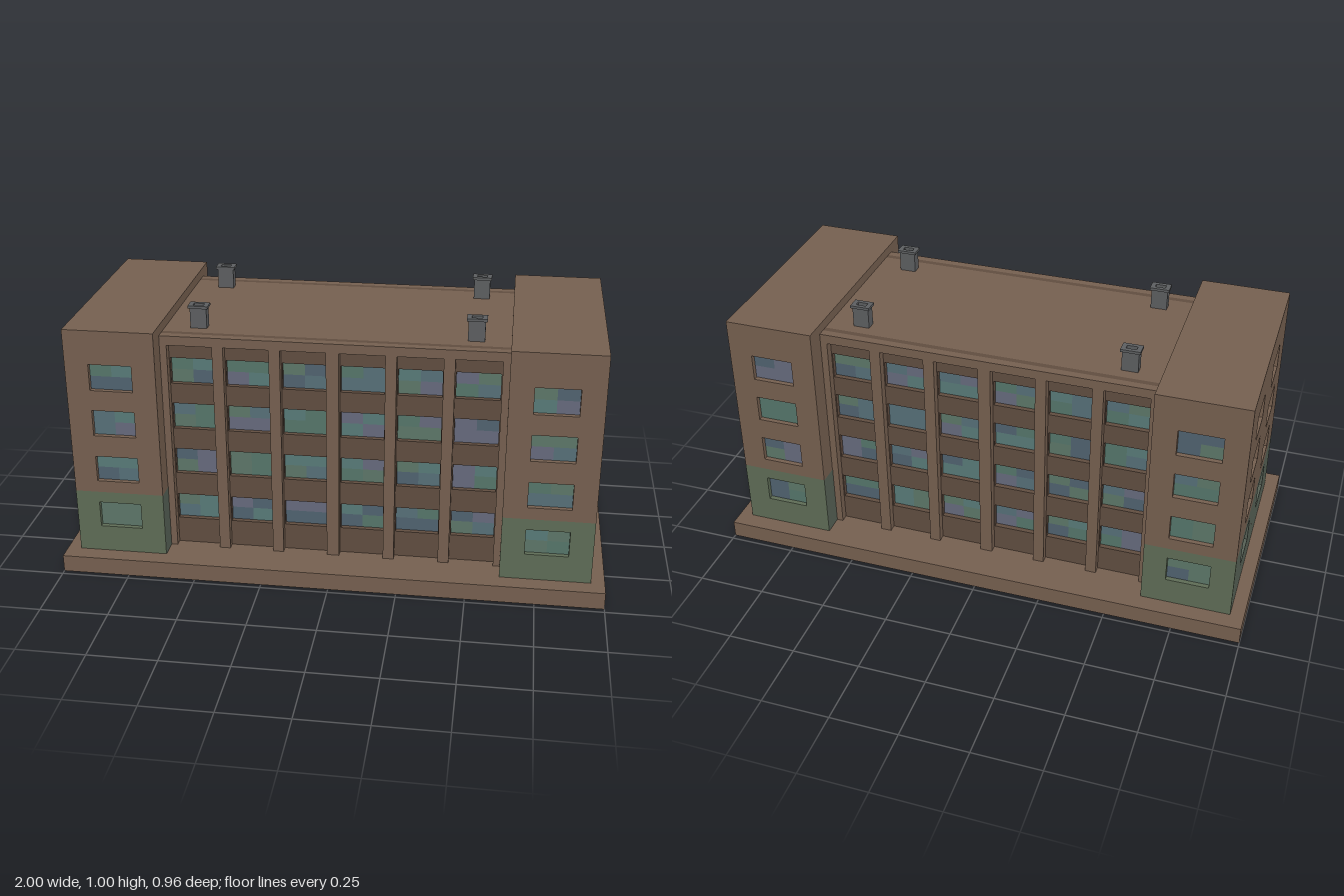
import * as THREE from 'three';

const mat = (color) => new THREE.MeshStandardMaterial({ color });
const BRICK = mat(0x755f4f), RECESS = mat(0x604d40), GREEN = mat(0x5e6c56), SIDE_GREEN = mat(0x566055);
const METAL = mat(0x5c5e60);
const GLASS = [0x566f78, 0x587a78, 0x55756a, 0x666a7c, 0x50626f, 0x5c7668].map(mat);

const BASE = 0.065, SPLIT = 0.31, WING_TOP = 0.945, BODY_TOP = 0.91;
const FLOORS = [0.217, 0.406, 0.589, 0.767]; // window centre heights
const WIN_W = 0.157, WIN_H = 0.1, DEPTH = 0.02;

let seed = 7;
const random = () => (seed = (seed * 16807) % 2147483647) / 2147483647;

function box(parent, name, material, x0, x1, y0, y1, z0, z1) {
  const mesh = new THREE.Mesh(new THREE.BoxGeometry(x1 - x0, y1 - y0, z1 - z0), material);
  mesh.position.set((x0 + x1) / 2, (y0 + y1) / 2, (z0 + z1) / 2);
  mesh.name = name;
  parent.add(mesh);
}

function trace(path, x0, x1, y0, y1) {
  path.moveTo(x0, y0);
  path.lineTo(x1, y0);
  path.lineTo(x1, y1);
  path.lineTo(x0, y1);
  path.closePath();
  return path;
}

// Wall slab facing +z with rectangular openings; z is its outer face
function wall(parent, name, material, [x0, x1, y0, y1], centres, z) {
  const shape = trace(new THREE.Shape(), x0, x1, y0, y1);
  for (const [x, y] of centres)
    shape.holes.push(trace(new THREE.Path(), x - WIN_W / 2, x + WIN_W / 2, y - WIN_H / 2, y + WIN_H / 2));
  const mesh = new THREE.Mesh(new THREE.ExtrudeGeometry(shape, { depth: DEPTH, bevelEnabled: false }), material);
  mesh.position.z = z - DEPTH;
  mesh.name = name;
  parent.add(mesh);
}

// Four tinted panes set back inside each opening
const paneGeo = new THREE.PlaneGeometry(WIN_W / 2, WIN_H / 2);
function panes(parent, centres, z) {
  for (const [x, y] of centres) {
    const win = new THREE.Group();
    win.name = 'window';
    win.position.set(x, y, z - DEPTH + 0.002);
    for (const i of [-1, 1]) for (const j of [-1, 1]) {
      const pane = new THREE.Mesh(paneGeo, GLASS[Math.floor(random() * GLASS.length)]);
      pane.name = 'pane';
      pane.position.set(i * WIN_W / 4, j * WIN_H / 4, 0);
      win.add(pane);
    }
    parent.add(win);
  }
}

const grid = (xs) => FLOORS.flatMap((y) => xs.map((x) => [x, y]));

// Wing wall: green ground floor below brick upper floors
function wingWall(parent, x0, x1, xs, z, green) {
  const centres = grid(xs);
  wall(parent, 'groundFloorWall', green, [x0, x1, BASE, SPLIT], centres.filter((c) => c[1] < SPLIT), z);
  wall(parent, 'upperWall', BRICK, [x0, x1, SPLIT, WING_TOP], centres.filter((c) => c[1] > SPLIT), z);
  panes(parent, centres, z);
}

// Long facade, used for both front and back
function longFacade() {
  const g = new THREE.Group();
  g.name = 'longFacade';
  const bays = [-0.513, -0.309, -0.105, 0.105, 0.309, 0.513], half = 0.082;
  wall(g, 'bayWall', RECESS, [-0.62, 0.62, BASE, BODY_TOP], grid(bays), 0.31);
  panes(g, grid(bays), 0.31);
  // Pilasters between the bays
  const edges = [-0.62, ...bays.flatMap((x) => [x - half, x + half]), 0.62];
  for (let i = 0; i < edges.length; i += 2)
    box(g, 'pilaster', BRICK, edges[i], edges[i + 1], BASE, 0.875, 0.31, 0.34);
  box(g, 'cornice', BRICK, -0.62, 0.62, 0.875, BODY_TOP, 0.31, 0.34);
  for (const s of [-1, 1]) {
    const c = s * 0.785;
    wingWall(g, c - 0.165, c + 0.165, [c], 0.415, GREEN);
  }
  return g;
}

function endFacade() {
  const g = new THREE.Group();
  g.name = 'endFacade';
  wingWall(g, -0.395, 0.395, [-0.177, 0.177], 0.95, SIDE_GREEN);
  return g;
}

// Hollow rectangular tube standing on y
function tube(parent, name, w, d, wallX, wallZ, y0, y1) {
  const shape = trace(new THREE.Shape(), -w / 2, w / 2, -d / 2, d / 2);
  shape.holes.push(trace(new THREE.Path(), -w / 2 + wallX, w / 2 - wallX, -d / 2 + wallZ, d / 2 - wallZ));
  const mesh = new THREE.Mesh(new THREE.ExtrudeGeometry(shape, { depth: y1 - y0, bevelEnabled: false }), METAL);
  mesh.rotation.x = -Math.PI / 2;
  mesh.position.y = y0;
  mesh.name = name;
  parent.add(mesh);
}

function chimney(x, z) {
  const g = new THREE.Group();
  g.name = 'chimney';
  tube(g, 'chimneyShaft', 0.06, 0.037, 0.011, 0.009, BODY_TOP, 0.985);
  tube(g, 'chimneyCap', 0.072, 0.048, 0.017, 0.0145, 0.985, 0.995);
  g.position.set(x, 0, z);
  return g;
}

export function createModel() {
  const model = new THREE.Group();
  model.name = 'apartmentBlock';
  box(model, 'plinth', BRICK, -1, 1, 0, BASE, -0.48, 0.48);
  box(model, 'mainBlock', BRICK, -0.62, 0.62, BASE, BODY_TOP, -0.29, 0.29);
  box(model, 'leftWing', BRICK, 0.62, 0.93, BASE, WING_TOP, -0.395, 0.395);
  box(model, 'rightWing', BRICK, -0.93, -0.62, BASE, WING_TOP, -0.395, 0.395);

  for (const turn of [0, Math.PI]) {
    const long = longFacade(), end = endFacade();
    long.rotation.y = turn;
    end.rotation.y = turn + Math.PI / 2;
    model.add(long, end);
  }
  // Green ground floor on the short wing returns beside the main block
  for (const sx of [-1, 1]) for (const sz of [-1, 1]) {
    const panel = new THREE.Mesh(new THREE.PlaneGeometry(0.075, SPLIT - BASE), SIDE_GREEN);
    panel.name = 'wingReturn';
    panel.rotation.y = -sx * Math.PI / 2;
    panel.position.set(sx * 0.619, (BASE + SPLIT) / 2, sz * 0.3775);
    model.add(panel);
  }
  for (const x of [-0.497, 0.497]) for (const z of [-0.229, 0.229]) model.add(chimney(x, z));
  return model;
}
